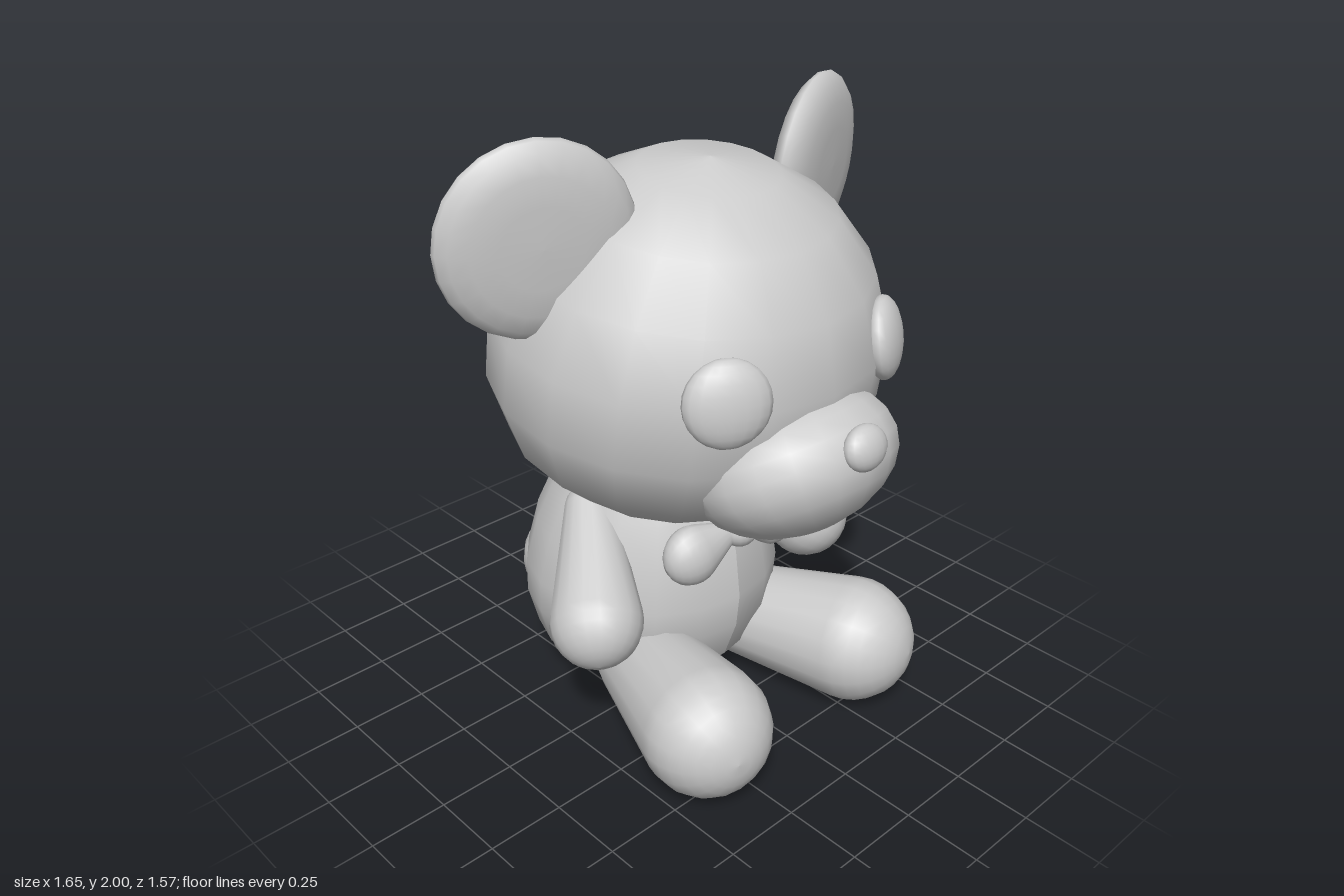
import * as THREE from 'three';

const SEG = 18;
const material = new THREE.MeshStandardMaterial({ color: 0xcccccc });
const V = (x, y, z) => new THREE.Vector3(x, y, z);

function part(name, geometry, position = [0, 0, 0], rotation = [0, 0, 0]) {
  const mesh = new THREE.Mesh(geometry, material);
  mesh.name = name;
  mesh.position.set(...position);
  mesh.rotation.set(...rotation, 'YXZ');
  return mesh;
}

const lathe = (pairs, segments = SEG) =>
  new THREE.LatheGeometry(pairs.map(([r, y]) => new THREE.Vector2(Math.max(r, 0), y)), segments);

const ellipsoid = (rx, ry, rz, w = SEG, h = 12) =>
  new THREE.SphereGeometry(1, w, h).rotateY(Math.PI / 2).scale(rx, ry, rz);

// Tapered rounded limb wrapped around a small ball at a and a larger ball at b
function limb(name, a, b, ra, rb, flatten = 1) {
  const dir = b.clone().sub(a);
  const length = dir.length();
  const tangent = -Math.asin((rb - ra) / length);
  const profile = [];
  const arc = (r, y, from, to, n) => {
    for (let i = 0; i <= n; i++) {
      const t = from + (to - from) * i / n;
      profile.push([r * Math.cos(t), y + r * Math.sin(t)]);
    }
  };
  arc(ra, 0, -Math.PI / 2, tangent, 4);
  arc(rb, length, tangent, Math.PI / 2, 8);
  const mesh = part(name, lathe(profile).scale(1, 1, flatten), a.toArray());
  mesh.quaternion.setFromUnitVectors(V(0, 1, 0), dir.normalize());
  return mesh;
}

// Head: nine-band ellipsoid with a flattened underside
function headGeometry() {
  const profile = [];
  for (let i = 0; i <= 9; i++) {
    const a = Math.PI * i / 9;
    const t = -Math.cos(a);
    profile.push([0.637 * Math.sin(a), 0.6 * t + (t < 0 ? -0.1 * t ** 3 : 0)]);
  }
  return lathe(profile).scale(1, 1, 0.94);
}

// Body: pear shape leaning slightly forward towards the neck
function bodyGeometry() {
  const g = lathe([[0, 0.01], [0.15, 0.018], [0.29, 0.07], [0.385, 0.18], [0.425, 0.32], [0.428, 0.44],
    [0.395, 0.6], [0.345, 0.73], [0.295, 0.83], [0.25, 0.92], [0.15, 0.99], [0, 1.01]]);
  const p = g.attributes.position;
  for (let i = 0; i < p.count; i++) p.setZ(i, p.getZ(i) - 0.16 + 0.08 * (p.getY(i) - 0.4));
  g.computeVertexNormals();
  return g;
}

export function createModel() {
  const model = new THREE.Group();
  model.name = 'teddyBear';

  model.add(
    part('head', headGeometry(), [0, 1.27, 0.025], [0.157, 0, 0]),
    part('body', bodyGeometry()),
    part('muzzle', ellipsoid(0.335, 0.22, 0.3), [0, 1.028, 0.48], [-0.5, 0, 0]),
    part('nose', ellipsoid(0.08, 0.068, 0.045), [0, 1.165, 0.74], [-0.25, 0, 0]),
    part('tail', ellipsoid(0.178, 0.18, 0.18), [0, 0.19, -0.605]),
    part('bowKnot', ellipsoid(0.06, 0.058, 0.06), [0, 0.692, 0.262])
  );

  // Rounded disc for the ears, facing z
  const earGeometry = lathe([[0, -0.068], [0.12, -0.066], [0.2, -0.058], [0.255, -0.04], [0.283, -0.016],
    [0.289, 0], [0.283, 0.016], [0.255, 0.04], [0.2, 0.058], [0.12, 0.066], [0, 0.068]], 24).rotateX(Math.PI / 2);
  const eyeGeometry = ellipsoid(0.128, 0.128, 0.055);

  // Paired parts
  for (const [s, side] of [[1, 'left'], [-1, 'right']]) {
    model.add(
      part(side + 'Ear', earGeometry, [s * 0.555, 1.715, 0.02], [0.06, s * 0.36, 0]),
      part(side + 'Eye', eyeGeometry, [s * 0.328, 1.333, 0.525], [-0.15, s * 0.52, 0]),
      limb(side + 'Arm', V(s * 0.295, 0.72, -0.12), V(s * 0.475, 0.492, 0.122), 0.08, 0.146),
      limb(side + 'Leg', V(s * 0.22, 0.185, 0.045), V(s * 0.342, 0.212, 0.47), 0.155, 0.207),
      limb(side + 'BowLoop', V(s * 0.04, 0.69, 0.255), V(s * 0.18, 0.658, 0.235), 0.035, 0.098, 0.7)
    );
  }
  return model;
}
